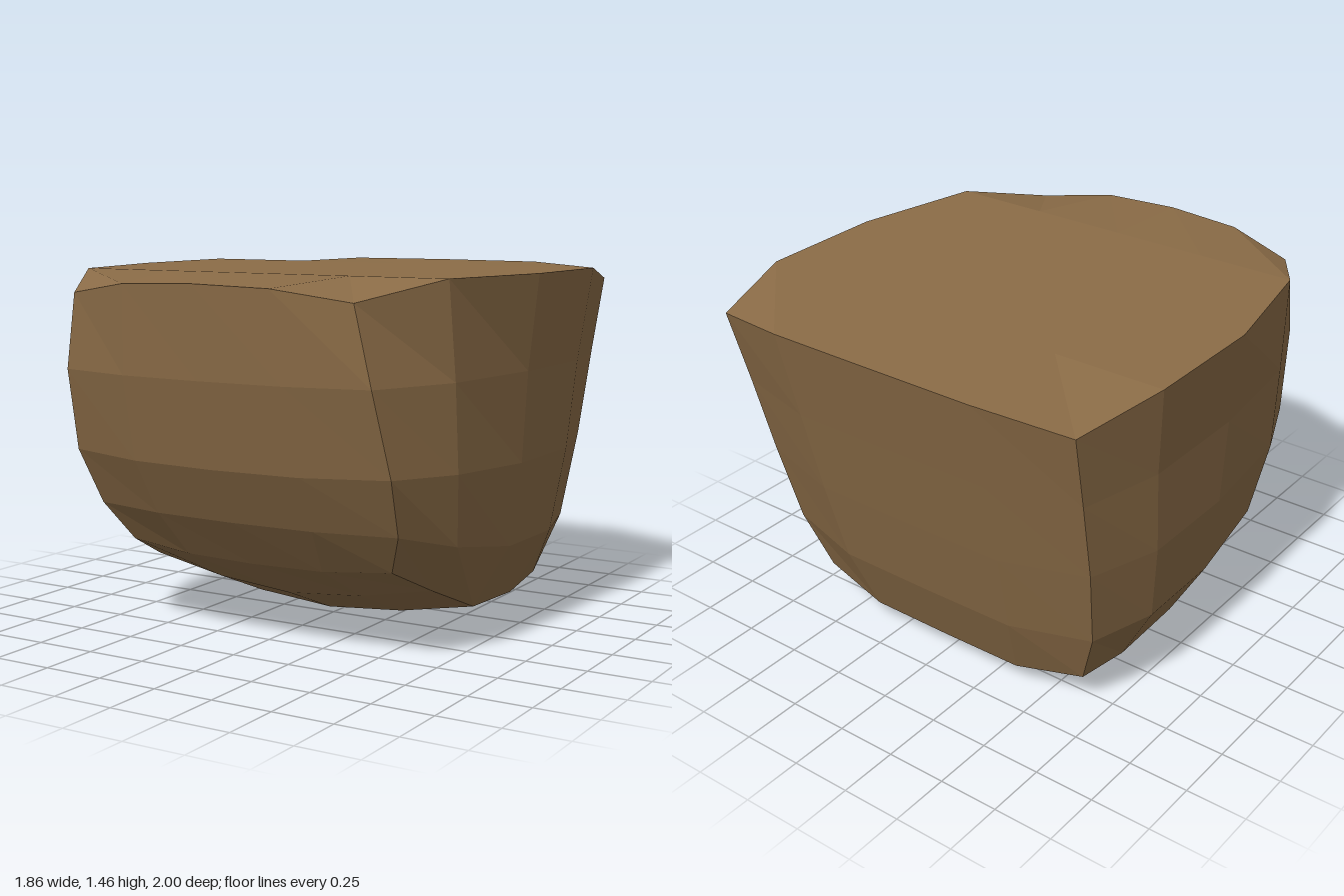
import * as THREE from 'three';

const material = new THREE.MeshStandardMaterial({ color: 0x8b6c47, flatShading: true });

// Column between a centre line and an edge line, bulging outward
const between = (centre, edge, across, drop) => centre.map((c, i) => [
  c[0] + (edge[i][0] - c[0]) * across,
  c[1] + (edge[i][1] - c[1]) * drop,
  c[2] + (edge[i][2] - c[2]) * drop,
]);
const mirror = (columns) => columns.map((col) => col.map(([x, y, z]) => [-x, y, z])).reverse();

// Panel from columns listed left to right (seen from outside), each running top down
function panel(name, ...patches) {
  const pos = [];
  for (const cols of patches) {
    for (let i = 0; i < cols.length - 1; i++) {
      for (let j = 0; j < cols[i].length - 1; j++) {
        const a = cols[i][j], b = cols[i + 1][j], c = cols[i + 1][j + 1], d = cols[i][j + 1];
        pos.push(...a, ...d, ...c, ...a, ...c, ...b);
      }
    }
  }
  const geo = new THREE.BufferGeometry();
  geo.setAttribute('position', new THREE.Float32BufferAttribute(pos, 3));
  geo.computeVertexNormals();
  const mesh = new THREE.Mesh(geo, material);
  mesh.name = name;
  return mesh;
}

export function createModel() {
  // Profiles from the rim down to the bottom edge
  const frontCentre = [[0, 1.435, 1], [0, 1.08, 0.965], [0, 0.74, 0.88], [0, 0.52, 0.76], [0, 0.33, 0.61]];
  const frontCorner = [[0.62, 1.38, 0.9], [0.68, 1.08, 0.88], [0.71, 0.75, 0.79], [0.68, 0.52, 0.68], [0.6, 0.36, 0.58]];
  const sideFront = [[0.82, 1.455, 0.57], [0.83, 1.08, 0.53], [0.83, 0.74, 0.5], [0.79, 0.45, 0.42], [0.65, 0.25, 0.35]];
  const sideMiddle = [[0.93, 1.455, 0.03], [0.89, 1.08, 0.03], [0.87, 0.72, 0.03], [0.825, 0.385, 0.03], [0.67, 0.12, 0.03]];
  const sideBack = [[0.93, 1.455, -0.51], [0.89, 1.08, -0.46], [0.87, 0.72, -0.41], [0.825, 0.38, -0.36], [0.67, 0.105, -0.32]];
  const backCorner = [[0.83, 1.395, -0.89], [0.81, 1.08, -0.81], [0.79, 0.74, -0.73], [0.75, 0.39, -0.65], [0.66, 0.14, -0.58]];
  const backCentre = [[0, 1.455, -1], [0, 1.08, -0.91], [0, 0.72, -0.825], [0, 0.365, -0.735], [0, 0.08, -0.62]];

  const frontMid = between(frontCentre, frontCorner, 0.52, 0.17);
  const backMid = between(backCentre, backCorner, 0.55, 0.03);
  const side = [frontCorner, sideFront, sideMiddle, sideBack, backCorner];

  // Underside keel, front to back
  const bottomCentre = [frontCentre[4], [0, 0.16, 0.35], [0, 0.03, 0.03], [0, 0, -0.32], backCentre[4]];
  const bottomEdge = side.map((col) => col[4]);
  const bottomMid = between(bottomCentre, bottomEdge, 0.51, 0.32);
  bottomMid[0] = frontMid[4];
  bottomMid[4] = backMid[4];

  // Flat top, back to front
  const topEdge = side.map((col) => col[0]).reverse();
  const topCentre = [backCentre[0], [0, 1.455, -0.51], [0, 1.455, 0.03], [0, 1.455, 0.57], frontCentre[0]];
  const topMid = between(topCentre, topEdge, 0.5, 0);
  topMid[0] = backMid[0];
  topMid[4] = frontMid[0];

  const front = [frontCentre, frontMid, frontCorner];
  const back = [backCorner, backMid, backCentre];
  const bottom = [bottomCentre, bottomMid, bottomEdge];
  const top = [topCentre, topMid, topEdge];

  const group = new THREE.Group();
  group.name = 'facetedBlock';
  group.add(
    panel('frontPanel', front, mirror(front)),
    panel('leftPanel', side),
    panel('rightPanel', mirror(side)),
    panel('backPanel', back, mirror(back)),
    panel('underside', bottom, mirror(bottom)),
    panel('topPanel', top, mirror(top)),
  );
  return group;
}
